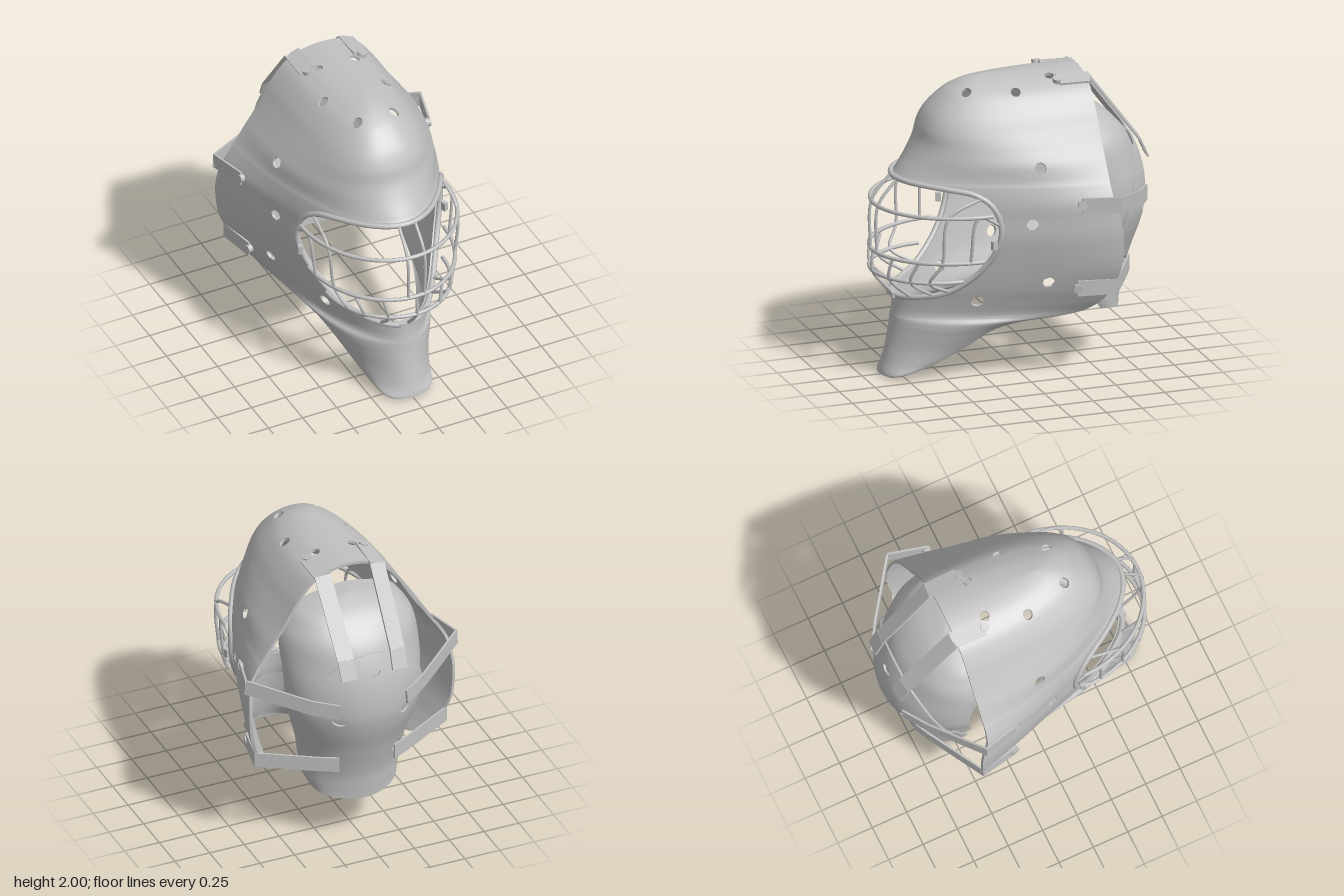
import * as THREE from 'three';

const V = (x, y, z) => new THREE.Vector3(x, y, z);
const HALF = Math.PI / 2;

// Height sections: y, front z, rear z, rear half width, mid half width (first and last rows only steer the curve)
const SHELL = [
  [0, 0.89, 0.87, 0.08, 0.08], [0.01, 0.88, 0.83, 0.13, 0.13], [0.035, 0.875, 0.76, 0.185, 0.185],
  [0.1, 0.855, 0.59, 0.23, 0.23], [0.2, 0.83, 0.41, 0.28, 0.28], [0.3, 0.81, 0.28, 0.335, 0.335],
  [0.36, 0.8, 0.18, 0.375, 0.375], [0.4, 0.795, 0.03, 0.42, 0.41], [0.43, 0.79, -0.2, 0.48, 0.43],
  [0.47, 0.785, -0.36, 0.53, 0.46], [0.55, 0.78, -0.46, 0.6, 0.51], [0.65, 0.78, -0.51, 0.66, 0.56],
  [0.8, 0.78, -0.55, 0.72, 0.61], [1.0, 0.78, -0.56, 0.74, 0.655], [1.15, 0.78, -0.54, 0.73, 0.655],
  [1.25, 0.78, -0.51, 0.71, 0.65], [1.35, 0.78, -0.5, 0.655, 0.63], [1.4, 0.75, -0.5, 0.62, 0.615],
  [1.5, 0.68, -0.5, 0.555, 0.585], [1.6, 0.625, -0.5, 0.485, 0.515], [1.7, 0.595, -0.5, 0.425, 0.44],
  [1.8, 0.54, -0.5, 0.365, 0.375], [1.9, 0.44, -0.5, 0.285, 0.29], [1.95, 0.36, -0.5, 0.215, 0.215],
  [1.985, 0.27, -0.5, 0.125, 0.125], [2.0, 0.18, -0.5, 0, 0], [1.985, 0.27, -0.5, -0.125, -0.125],
];
// Same layout turned to face the rear: y, rear z, front edge z, half width
const BACK = [
  [0.3, -0.735, -0.67, 0.2], [0.33, -0.74, -0.62, 0.24], [0.42, -0.75, -0.54, 0.29], [0.55, -0.77, -0.46, 0.34],
  [0.75, -0.83, -0.48, 0.38], [0.95, -0.9, -0.52, 0.44], [1.1, -0.925, -0.53, 0.47], [1.3, -0.905, -0.51, 0.48],
  [1.5, -0.83, -0.43, 0.475], [1.62, -0.74, -0.38, 0.42], [1.71, -0.63, -0.36, 0.31], [1.77, -0.49, -0.36, 0],
  [1.71, -0.63, -0.36, -0.31],
].map(([y, zb, zf, w]) => [y, zb, zf, -w, -w]);

// Smooth interpolation through the section rows
function section(rows, v) {
  const i = Math.min(Math.max(Math.floor(v), 0), rows.length - 4), s = v - i;
  return rows[0].map((_, k) => {
    const [a, b, c, d] = [0, 1, 2, 3].map(j => rows[i + j][k]);
    return b + 0.5 * s * (c - a + s * (2 * a - 5 * b + 4 * c - d + s * (3 * (b - c) + d - a)));
  });
}
// Each section is half an ellipse, slightly pointed low down and fuller towards the crown
function pointAt(rows, v, a) {
  const [y, zf, zb, w, wm] = section(rows, v), t = Math.cos(a), s = Math.sin(a);
  const flare = (w - wm) * Math.pow(Math.max(0, 1 - 2 * t), 1.5);
  const bulge = 1 + (0.12 * THREE.MathUtils.smoothstep(y, 1.35, 1.75) - 0.03) * Math.sin(2 * a) ** 2;
  return V(wm * s * bulge + Math.sign(s) * flare, y, zb + (zf - zb) * t * bulge);
}
function normalAt(rows, v, a) {
  const e = 0.008, c = Math.min(Math.max(v, 0.01), rows.length - 3.01);
  const da = pointAt(rows, c, a + e).sub(pointAt(rows, c, a - e));
  const dv = pointAt(rows, c + e, a).sub(pointAt(rows, c - e, a));
  const n = da.cross(dv);
  return n.lengthSq() < 1e-16 ? V(0, 1, 0) : n.normalize();
}

// Curved sheet with thickness; everything where keep(point, angle) < 0 is cut away with clean edges
function sheet(rows, nv, na, offset, thick, keep) {
  const pos = [], nor = [], top = rows.length - 3;
  const put = (p, n) => { pos.push(p.x, p.y, p.z); nor.push(n.x, n.y, n.z); };
  const corner = (i, j) => {
    const v = top * i / nv, a = -HALF + Math.PI * j / na;
    return { v, a, f: keep(pointAt(rows, v, a), a), side: j === 0 ? -1 : j === na ? 1 : 0 };
  };
  const finish = c => {
    if (c.n) return c;
    c.n = normalAt(rows, c.v, c.a);
    c.back = c.n.clone().negate();
    c.p = pointAt(rows, c.v, c.a).addScaledVector(c.n, offset);
    c.q = c.p.clone().addScaledVector(c.n, -thick);
    return c;
  };
  const triangle = tri => {
    const poly = [];
    tri.forEach((p, k) => {
      const q = tri[(k + 1) % 3];
      if (p.f > 0) poly.push(finish(p));
      if ((p.f > 0) !== (q.f > 0)) {
        const s = p.f / (p.f - q.f);
        poly.push(finish({ v: p.v + (q.v - p.v) * s, a: p.a + (q.a - p.a) * s, cut: true, side: p.side === q.side ? p.side : 0 }));
      }
    });
    for (let k = 1; k + 1 < poly.length; k++) {
      const [a, b, c] = [poly[0], poly[k], poly[k + 1]];
      put(a.p, a.n); put(b.p, b.n); put(c.p, c.n);
      put(a.q, a.back); put(c.q, c.back); put(b.q, b.back);
    }
    poly.forEach((a, k) => {
      const b = poly[(k + 1) % poly.length];
      if (!((a.cut && b.cut) || (a.v === 0 && b.v === 0) || (a.side && a.side === b.side))) return;
      const n = a.q.clone().sub(a.p).cross(b.q.clone().sub(a.p)).normalize();
      [a.p, a.q, b.q, a.p, b.q, b.p].forEach(p => put(p, n));
    });
  };
  const grid = [];
  for (let i = 0; i <= nv; i++) grid.push(Array.from({ length: na + 1 }, (_, j) => corner(i, j)));
  for (let i = 0; i < nv; i++) for (let j = 0; j < na; j++) {
    const a = grid[i][j], b = grid[i][j + 1], c = grid[i + 1][j + 1], d = grid[i + 1][j];
    triangle([a, b, c]); triangle([a, c, d]);
  }
  const g = new THREE.BufferGeometry();
  g.setAttribute('position', new THREE.Float32BufferAttribute(pos, 3));
  g.setAttribute('normal', new THREE.Float32BufferAttribute(nor, 3));
  return g;
}

// Face opening outline as (angle from front, height)
const half = [[0.4, 1.36], [0.65, 1.345], [0.8, 1.32], [0.9, 1.25], [0.94, 1.1], [0.9, 0.92], [0.79, 0.75], [0.63, 0.63], [0.34, 0.57]];
const outline = new THREE.CatmullRomCurve3([
  V(0, 1.365, 0), ...half.map(([a, y]) => V(a, y, 0)), V(0, 0.555, 0), ...half.slice().reverse().map(([a, y]) => V(-a, y, 0)),
], true).getPoints(90);

function openingDistance(x, y) {
  if (Math.abs(x) > 1.15 || y < 0.45 || y > 1.48) return 1;
  let inside = false, best = 1;
  for (let i = 0; i + 1 < outline.length; i++) {
    const a = outline[i], b = outline[i + 1], dx = b.x - a.x, dy = b.y - a.y;
    const s = Math.min(1, Math.max(0, ((x - a.x) * dx + (y - a.y) * dy) / (dx * dx + dy * dy || 1)));
    best = Math.min(best, Math.hypot(x - a.x - dx * s, y - a.y - dy * s));
    if ((a.y > y) !== (b.y > y) && x < a.x + dx * (y - a.y) / dy) inside = !inside;
  }
  return inside ? -best : best;
}

const sideHoles = [[-0.05, 1.49], [0.02, 1.12], [-0.1, 0.7], [0.33, 0.56]];
const topHoles = [[0.23, 0.01], [0.135, 0.32], [0.135, -0.26]];
function shellKeep(p, a) {
  let f = openingDistance(a, p.y);
  for (const [z, y] of sideHoles) f = Math.min(f, Math.hypot(p.z - z, p.y - y) - 0.038);
  if (p.y > 1.7) for (const [x, z] of topHoles) f = Math.min(f, Math.hypot(Math.abs(p.x) - x, p.z - z) - 0.033);
  return f;
}
// Rear plates have a slanted lower edge
const innerKeep = p => p.y - 0.33 - 0.35 * (p.z + 0.75);
// The outer one is vented and stops at a slanted front edge and a level top edge
function outerKeep(p) {
  let f = Math.min(innerKeep(p), -0.55 - 0.353 * (p.y - 0.68) - p.z, 1.53 - p.y);
  f = Math.min(f, Math.hypot(p.x / 2, p.y - 1.37) - 0.025);
  for (const [z, y] of [[-0.86, 1.05], [-0.73, 0.68]]) f = Math.min(f, Math.hypot((p.z - z) * 1.8, p.y - y) - 0.04);
  return f;
}

export function createModel() {
  const model = new THREE.Group();
  const grey = new THREE.MeshStandardMaterial({ color: 0xc0c0c0 });
  grey.name = 'light grey';
  const add = (name, geometry, parent = model) => {
    const m = new THREE.Mesh(geometry, grey);
    m.name = name;
    parent.add(m);
    return m;
  };
  const group = name => { const g = new THREE.Group(); g.name = name; model.add(g); return g; };

  // Shell and rear plates
  add('maskShell', sheet(SHELL, 144, 130, 0, 0.02, shellKeep));
  add('innerBackPlate', sheet(BACK, 60, 60, 0, 0.015, innerKeep));
  add('outerBackPlate', sheet(BACK, 60, 60, 0.025, 0.015, outerKeep));

  // Cage rim follows the face opening
  const cage = group('faceCage');
  const tube = (name, pts, r, seg = 28, closed = false) =>
    add(name, new THREE.TubeGeometry(new THREE.CatmullRomCurve3(pts, closed), seg, r, 8, closed), cage);
  const rim = outline.slice(0, -1).map(o => {
    let lo = 0, hi = SHELL.length - 3;
    for (let k = 0; k < 30; k++) {
      const mid = (lo + hi) / 2;
      if (section(SHELL, mid)[0] < o.y) lo = mid; else hi = mid;
    }
    return pointAt(SHELL, lo, o.x).addScaledVector(normalAt(SHELL, lo, o.x), 0.008);
  });
  tube('cageRim', rim, 0.019, 120, true);

  // Horizontal bars: height, half width, rear z, depth
  const levels = [[1.19, 0.53, 0.28, 0.635], [0.87, 0.495, 0.33, 0.595], [0.725, 0.425, 0.45, 0.475]];
  const onBar = ([y, r, z, d], a) => V(r * Math.sin(a), y, z + d * Math.cos(a));
  for (const l of levels) {
    tube('horizontalBar', Array.from({ length: 17 }, (_, i) => onBar(l, -HALF + Math.PI * i / 16)), 0.014, 40);
  }
  // Vertical bars run between the rim and the horizontal bars
  const rimNear = (x, upper) => rim.filter(p => (p.y > 1.1) === upper)
    .reduce((b, p) => Math.abs(p.x - x) < Math.abs(b.x - x) ? p : b);
  const vertical = (a, from, to) => {
    const pts = levels.slice(from, to).map(l => onBar(l, a));
    if (from === 0) pts.unshift(rimNear(pts[0].x, true));
    if (to === 3) pts.push(rimNear(pts[pts.length - 1].x * 0.84, false));
    tube('verticalBar', pts, 0.011);
  };
  vertical(0, 1, 3);
  for (const s of [1, -1]) {
    vertical(s * 0.118, 0, 2);
    vertical(s * 0.45, 1, 3);
    vertical(s * 0.82, 1, 3);
    vertical(s * 1.1, 0, 3);
    vertical(s * 1.42, 0, 2);
  }

  // Clips that hold the rim
  add('chinClip', new THREE.BoxGeometry(0.12, 0.035, 0.045), cage).position.set(0, 0.555, 0.785);
  for (const s of [1, -1]) {
    const c = add('sideClip', new THREE.BoxGeometry(0.03, 0.06, 0.035), cage);
    c.position.set(s * 0.53, 0.99, 0.27);
    c.rotation.y = s * 0.3;
  }

  // Straps: flat bands along a path, with a button at the shell end
  const strap = (name, path, across, width, button, axis) => {
    for (const s of [1, -1]) {
      const g = group(name);
      const pts = path.map(([x, y, z]) => V(s * x, y, z)), side = V(s * across[0], across[1], across[2]);
      for (let i = 0; i + 1 < pts.length; i++) {
        const along = pts[i + 1].clone().sub(pts[i]), len = along.length();
        along.normalize();
        const wide = side.clone().addScaledVector(along, -along.dot(side)).normalize();
        const m = add('band', new THREE.BoxGeometry(len + 0.008, width, 0.014), g);
        m.quaternion.setFromRotationMatrix(new THREE.Matrix4().makeBasis(along, wide, along.clone().cross(wide)));
        m.position.copy(pts[i]).add(pts[i + 1]).multiplyScalar(0.5);
      }
      const b = add('button', new THREE.CylinderGeometry(0.03, 0.03, 0.032, 20), g);
      b.position.set(s * button[0], button[1], button[2]);
      b.quaternion.setFromUnitVectors(V(0, 1, 0), V(s * axis[0], axis[1], axis[2]).normalize());
    }
  };
  strap('topStrap', [[0.2, 1.968, -0.3], [0.195, 1.96, -0.52], [0.185, 1.5, -0.865], [0.18, 1.38, -0.92]],
    [1, -0.3, 0], 0.11, [0.2, 1.968, -0.29], [0.3, 1, 0]);
  strap('upperSideStrap', [[0.69, 1.25, -0.29], [0.755, 1.25, -0.54], [0.4, 1.15, -0.8], [0.24, 1.13, -0.9]],
    [0, 1, 0], 0.105, [0.688, 1.25, -0.29], [1, 0.1, 0.2]);
  strap('lowerSideStrap', [[0.635, 0.66, -0.28], [0.685, 0.665, -0.53], [0.3, 0.65, -0.74], [0.2, 0.65, -0.79]],
    [0, 1, 0], 0.105, [0.632, 0.66, -0.28], [1, -0.1, 0.2]);
  return model;
}
